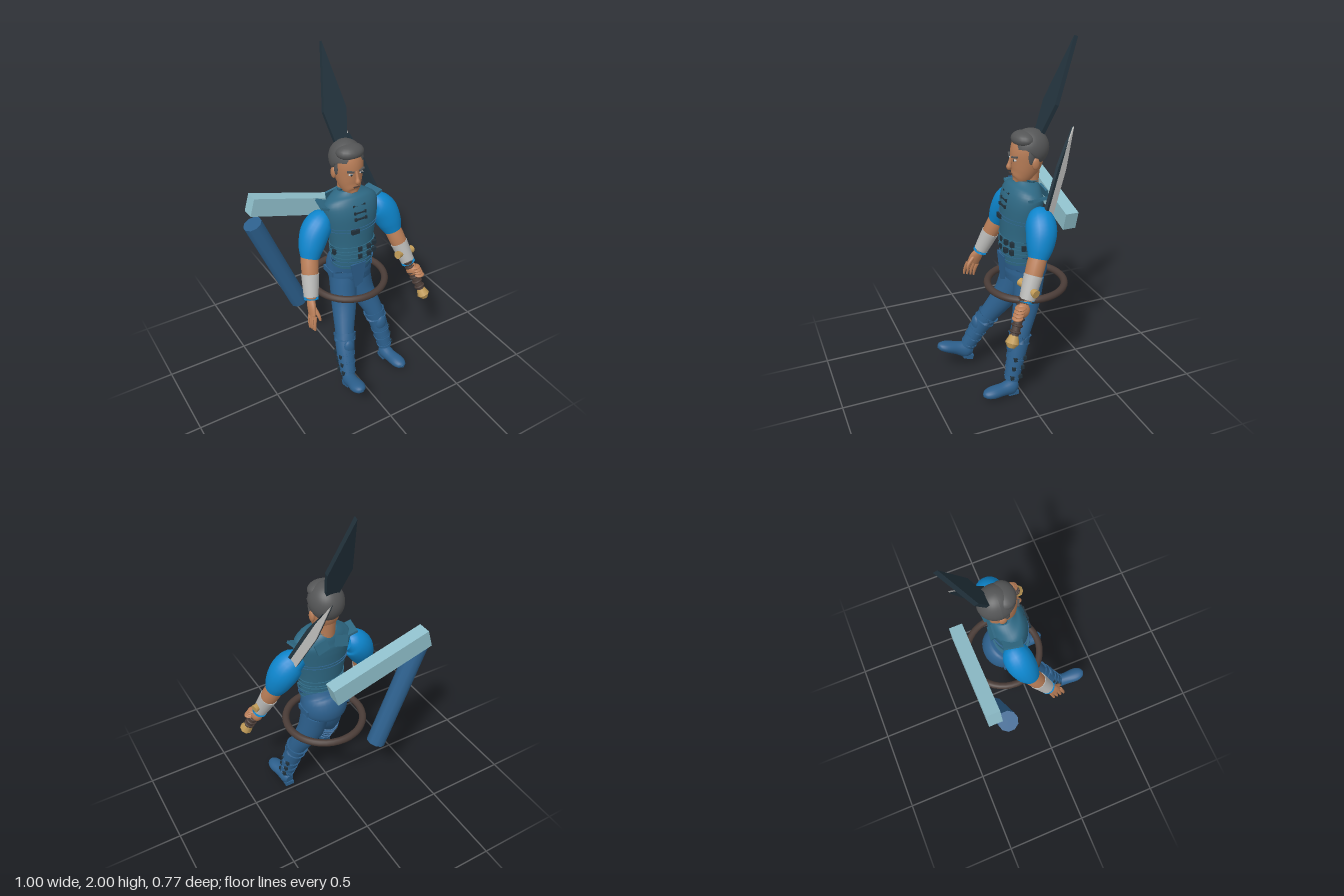
import * as THREE from 'three';

const paint = (name, color) => {
  const m = new THREE.MeshStandardMaterial({ color });
  m.name = name;
  return m;
};
const M = {
  vest: paint('teal vest', 0x2e6883), cloth: paint('blue cloth', 0x2c5f8c),
  sleeve: paint('bright blue', 0x0d85cc), skin: paint('skin', 0xb87d57),
  metal: paint('pale grey', 0xb8b8b6), hair: paint('hair grey', 0x545556),
  dark: paint('dark slate', 0x22323c), slab: paint('light teal', 0x8fbfcb),
  brown: paint('brown leather', 0x4a3c37), gold: paint('gold', 0xc29c58),
};
const V = (x, y, z) => new THREE.Vector3(x, y, z);

export function createModel() {
  const root = new THREE.Group();
  const add = (name, geo, mat, pos, parent = root) => {
    const m = new THREE.Mesh(geo, mat);
    m.name = name;
    if (pos) m.position.set(...pos);
    parent.add(m);
    return m;
  };

  // Smooth elliptical sweep through rows of [x, y, z, radiusA, radiusB]
  const sweep = (name, rows, mat, segs = 20, sub = 4) => {
    const path = new THREE.CatmullRomCurve3(rows.map(r => V(r[0], r[1], r[2])), false, 'catmullrom');
    const radii = new THREE.CatmullRomCurve3(rows.map(r => V(r[3], r[4] ?? r[3], 0)), false, 'catmullrom');
    const n = rows.length === 2 ? 1 : (rows.length - 1) * sub;
    const pos = [], idx = [];
    const ring = t => {
      const c = path.getPoint(t), r = radii.getPoint(t), T = path.getTangent(t);
      const u = V(1, 0, 0).addScaledVector(T, -T.x).normalize(), v = u.clone().cross(T);
      for (let j = 0; j < segs; j++) {
        const a = j / segs * Math.PI * 2;
        const p = c.clone().addScaledVector(u, r.x * Math.cos(a)).addScaledVector(v, r.y * Math.sin(a));
        pos.push(p.x, p.y, p.z);
      }
      return c;
    };
    for (let i = 0; i <= n; i++) ring(i / n);
    for (let i = 0; i < n; i++) for (let j = 0; j < segs; j++) {
      const a = i * segs + j, b = i * segs + (j + 1) % segs;
      idx.push(a, a + segs, b, b, a + segs, b + segs);
    }
    for (const t of [0, 1]) { // end caps
      const s = pos.length / 3, c = ring(t);
      pos.push(c.x, c.y, c.z);
      for (let j = 0; j < segs; j++) {
        const a = s + j, b = s + (j + 1) % segs;
        idx.push(s + segs, ...(t ? [b, a] : [a, b]));
      }
    }
    const g = new THREE.BufferGeometry();
    g.setAttribute('position', new THREE.Float32BufferAttribute(pos, 3));
    g.setIndex(idx);
    g.computeVertexNormals();
    return add(name, g, mat);
  };
  const ball = (name, p, s, mat) => {
    const m = add(name, new THREE.SphereGeometry(1, 20, 14), mat, p);
    m.scale.set(...s);
    return m;
  };
  const box = (name, p, s, mat, rz = 0) => {
    const m = add(name, new THREE.BoxGeometry(...s), mat, p);
    m.rotation.z = rz;
    return m;
  };
  const rod = (name, a, b, r0, r1, mat, segs = 12) => {
    const A = V(...a), B = V(...b), d = B.clone().sub(A);
    const m = add(name, new THREE.CylinderGeometry(r1, r0, d.length(), segs), mat);
    m.position.copy(A).add(B).multiplyScalar(0.5);
    m.quaternion.setFromUnitVectors(V(0, 1, 0), d.normalize());
  };
  const plate = (pts, depth) => new THREE.ExtrudeGeometry(
    new THREE.Shape(pts.map(p => new THREE.Vector2(...p))), { depth, bevelEnabled: false }).translate(0, 0, -depth / 2);

  // Torso, flared skirt and collar
  const cx = 0.067;
  const torso = [[.79, -.06, .128, .1], [.86, -.055, .132, .1], [.95, -.06, .137, .102], [1.05, -.065, .154, .106],
    [1.13, -.072, .166, .108], [1.185, -.085, .163, .1], [1.22, -.095, .12, .082], [1.25, -.1, .07, .062]];
  const torsoAt = y => {
    const i = Math.max(1, torso.findIndex(r => r[0] >= y)), a = torso[i - 1], b = torso[i];
    const t = (y - a[0]) / (b[0] - a[0]);
    return a.map((v, k) => v + (b[k] - v) * t);
  };
  sweep('vest', torso.map(([y, z, a, b]) => [cx, y, z, a, b]), M.vest, 32);
  sweep('skirt', [[cx, .83, -.06, .124, .098], [cx, .78, -.075, .128, .11], [cx, .735, -.095, .136, .134],
    [cx, .7, -.085, .137, .12], [cx, .65, -.072, .132, .098]], M.cloth, 32);
  sweep('collar', [[cx, 1.225, -.1, .072, .064], [cx, 1.258, -.108, .062, .062]], M.vest, 24);
  const band = (y, h, mat, grow) => {
    const at = q => { const [, z, a, b] = torsoAt(q); return [cx, q, z, a + grow, b + grow]; };
    sweep('vestBand', [at(y - h / 2), at(y + h / 2)], mat, 32);
  };
  [.872, .918].forEach(y => band(y, .028, M.vest, .006));
  band(.825, .03, M.cloth, .005);
  band(1.045, .02, M.cloth, .005);
  const frontZ = y => { const [, z, , b] = torsoAt(y); return z + b; };
  [.87, .918].forEach(y => [.06, .12, .165].forEach(x =>
    box('beltBuckle', [x, y, frontZ(y) - (x > .15 ? .018 : .002)], [.024, .028, .02], M.dark)));
  box('chestBuckle', [.03, 1.045, frontZ(1.045) + .002], [.05, .026, .016], M.dark);
  [1.12, 1.155, 1.19].forEach(y => {
    box('chestClasp', [cx, y, frontZ(y) + .002], [.07, .008, .014], M.dark);
    for (const s of [-1, 1]) box('claspToggle', [cx + s * .033, y, frontZ(y) + .002], [.012, .018, .014], M.dark);
  });
  const flap = add('skirtFlap', plate([[-.05, 0], [.05, 0], [.035, -.15], [-.015, -.175]], .01), M.cloth, [.05, .82, .042]);
  flap.rotation.x = .04;
  for (const s of [-1, 1]) {
    box('skirtPocket', [cx + s * .134, .72, -.1], [.012, .035, .1], M.cloth);
    box('sideBuckle', [cx + s * .135, .9, -.03], [.016, .03, .024], M.dark);
    const e = box('shoulderFlap', [cx + s * .16, 1.185, -.1], [.06, .014, .11], M.vest, s * .35);
    e.rotation.y = s * .2;
    const b = box('backCollarFlap', [cx + s * .06, 1.19, -.182], [.075, .06, .012], M.vest, s * -.25);
    b.rotation.x = .3;
  }

  // Neck and head
  sweep('neck', [[cx, 1.2, -.115, .053, .053], [cx, 1.28, -.12, .05, .055], [cx, 1.38, -.125, .058, .06]], M.skin);
  sweep('head', [[cx, 1.243, -.038, .022, .02], [cx, 1.26, -.055, .046, .05], [cx, 1.3, -.08, .066, .073],
    [cx, 1.36, -.1, .079, .092], [cx, 1.43, -.108, .083, .095], [cx, 1.49, -.115, .066, .075], [cx, 1.515, -.12, .02, .02]], M.skin, 28);
  sweep('nose', [[cx, 1.32, -.01, .006, .006], [cx, 1.333, .002, .014, .015], [cx, 1.355, -.003, .009, .012],
    [cx, 1.395, -.016, .007, .01]], M.skin, 12);
  box('mouth', [cx, 1.298, -.008], [.036, .004, .008], M.brown);
  for (const s of [-1, 1]) {
    ball('ear', [cx + s * .083, 1.36, -.118], [.013, .034, .022], M.skin);
    ball('eye', [cx + s * .033, 1.378, -.018], [.014, .006, .009], M.metal);
    ball('pupil', [cx + s * .033, 1.378, -.011], [.006, .006, .004], M.dark);
    const brow = box('eyebrow', [cx + s * .035, 1.396, -.015], [.04, .008, .014], M.hair, s * .12);
    brow.rotation.y = s * .35;
  }

  // Hair: an ellipsoid clamped to a hairline that drops toward the nape
  const hair = new THREE.SphereGeometry(1, 32, 24).scale(.095, .105, .105).translate(cx, 1.43, -.122);
  const hp = hair.attributes.position;
  for (let i = 0; i < hp.count; i++) {
    const line = THREE.MathUtils.mapLinear(THREE.MathUtils.clamp(hp.getZ(i), -.17, -.07), -.17, -.07, 1.335, 1.44);
    hp.setY(i, Math.max(hp.getY(i), line));
  }
  hair.computeVertexNormals();
  add('hair', hair, M.hair);
  ball('frontHair', [cx, 1.482, -.082], [.082, .045, .066], M.hair);
  for (const s of [-1, 1]) ball('sideburn', [cx + s * .079, 1.4, -.095], [.01, .045, .018], M.hair);

  // Tall diamond spike behind the head
  const spike = add('headSpike', plate([[-.028, -.05], [.028, -.05], [.071, .17], [0, .535], [-.071, .17]], .024), M.dark, [.065, 1.505, -.177]);
  spike.rotation.x = -.385;

  // Arms
  sweep('rightSleeve', [[-.07, 1.1, -.1, .045], [-.115, 1.085, -.095, .076], [-.16, 1.035, -.085, .084],
    [-.195, .965, -.065, .074], [-.218, .905, -.045, .054]], M.sleeve);
  sweep('leftSleeve', [[.21, 1.1, -.1, .045], [.26, 1.085, -.095, .076], [.302, 1.035, -.085, .084],
    [.33, .965, -.065, .074], [.348, .905, -.045, .054]], M.sleeve);
  const forearm = (side, a, b) => {
    const at = (t, r) => [...a.map((v, k) => v + (b[k] - v) * t), r];
    sweep(side + 'Forearm', [at(0, .05), at(.4, .049), at(1, .028)], M.skin);
    sweep(side + 'Bracer', [at(.44, .052), at(.75, .046), at(.93, .042)], M.metal);
    sweep(side + 'BracerBand', [at(.93, .044), at(.99, .043)], M.sleeve);
  };
  forearm('right', [-.215, .93, -.055], [-.268, .69, .05]);
  forearm('left', [.34, .93, -.055], [.41, .69, .05]);

  // Open right hand
  sweep('rightPalm', [[-.268, .7, .045, .024, .026], [-.278, .66, .07, .022, .038], [-.286, .615, .09, .016, .038]], M.skin, 14);
  for (let i = 0; i < 4; i++) {
    const z = .125 - i * .021, y = .622 - i * .007;
    sweep('rightFinger', [[-.286, y, z, .011], [-.297, y - .045, z + .014, .01], [-.299, y - .08, z + .02, .006]], M.skin, 8, 2);
  }
  sweep('rightThumb', [[-.272, .66, .09, .012], [-.262, .62, .125, .011], [-.258, .59, .135, .006]], M.skin, 8, 2);

  // Sword, built from the pommel toward the tip: pale outer face, dark inner face and front edge
  const pommel = V(.462, .49, .155), dir = V(.155, 1.545, -.33).sub(pommel).normalize(), wide = V(.35, .5, .9);
  wide.addScaledVector(dir, -wide.dot(dir)).normalize();
  const sword = new THREE.Group();
  sword.name = 'sword';
  sword.position.copy(pommel);
  sword.quaternion.setFromRotationMatrix(new THREE.Matrix4().makeBasis(wide, dir, wide.clone().cross(dir)));
  root.add(sword);
  const edge = [[-.03, .3], [.014, .3], [.014, 1.05], [0, 1.2], [-.034, .97]];
  add('bladeOuterFace', plate(edge, .009), M.metal, [0, 0, -.0045], sword);
  add('bladeInnerFace', plate(edge, .009), M.dark, [0, 0, .0045], sword);
  add('bladeFrontEdge', plate([[.014, .3], [.03, .3], [.034, .97], [.014, 1.12]], .018), M.dark, null, sword);
  add('grip', new THREE.CylinderGeometry(.026, .024, .23, 14), M.brown, [0, .165, 0], sword);
  for (let i = 0; i < 6; i++) {
    const wrap = add('gripWrap', new THREE.TorusGeometry(.026, .007, 8, 16), M.brown, [0, .07 + i * .036, 0], sword);
    wrap.rotation.x = Math.PI / 2;
  }
  add('pommel', new THREE.CylinderGeometry(.024, .038, .045, 8), M.gold, [0, .03, 0], sword);
  add('pommelCap', new THREE.CylinderGeometry(.038, .02, .025, 8), M.gold, [0, -.005, 0], sword);
  rod('guard', [.325, .775, .045], [.39, .765, .03], .024, .014, M.gold);
  rod('guard', [.39, .765, .03], [.455, .755, .012], .014, .024, M.gold);
  ball('leftFist', [.418, .655, .075], [.034, .045, .042], M.skin);
  for (let i = 0; i < 4; i++) ball('leftFinger', [.43 + i * .005, .678 - i * .016, .09 + i * .008], [.032, .011, .03], M.skin);

  // Legs, boots and feet
  const leg = (side, s, rows, foot) => {
    sweep(side + 'Leg', rows, M.cloth);
    const [knee, shin, ankle] = rows.slice(-3);
    const mix = (a, b, t, g) => a.map((v, k) => v + (b[k] - v) * t + (k > 2 ? g : 0));
    sweep(side + 'Boot', [mix(knee, shin, .15, .006), mix(shin, shin, 0, .005), mix(ankle, ankle, 0, .005)], M.cloth);
    sweep(side + 'BootCuff', [mix(knee, shin, .12, .012), mix(knee, shin, .5, .012)], M.cloth);
    const pad = mix(knee, shin, .7, 0);
    ball(side + 'KneePad', [pad[0], pad[1], pad[2] + .042], [.036, .055, .024], M.cloth);
    [.1, .45, .8].forEach(t => {
      const b = mix(shin, ankle, t, .009), c = mix(shin, ankle, t + .09, .009);
      sweep(side + 'BootStrap', [b, c], M.cloth);
      for (const q of [.4, -.6]) box(side + 'BootBuckle', [b[0] + s * b[3] * .82, b[1], b[2] + q * b[3]], [.016, .022, .02], M.dark);
    });
    sweep(side + 'Foot', foot, M.cloth, 20);
  };
  leg('right', -1, [[.01, .68, -.07, .08, .09], [-.01, .53, -.02, .077], [-.06, .38, .07, .058], [-.09, .28, .13, .05], [-.112, .15, .2, .038]],
    [[-.108, .108, .175, .026, .03], [-.112, .12, .205, .04, .05], [-.12, .14, .265, .04, .04], [-.126, .162, .33, .045, .032],
      [-.128, .172, .368, .032, .023], [-.128, .174, .384, .01, .01]]);
  leg('left', 1, [[.125, .68, -.1, .08, .09], [.147, .53, -.075, .077], [.2, .38, -.015, .058], [.226, .26, .02, .05], [.25, .1, .06, .038]],
    [[.247, .045, .03, .026, .034], [.25, .05, .06, .04, .048], [.257, .048, .12, .039, .038], [.265, .05, .185, .044, .033],
      [.268, .05, .225, .032, .023], [.268, .048, .243, .01, .01]]);
  box('leftHeel', [.248, .014, .055], [.054, .026, .06], M.cloth);
  const heel = box('rightHeel', [-.112, .078, .2], [.054, .03, .06], M.cloth);
  heel.rotation.x = -.35;

  // Hoop around the thighs, and the slab and roll behind the back
  const hoop = add('hoop', new THREE.TorusGeometry(.224, .021, 12, 40), M.brown, [.07, .62, -.105]);
  hoop.rotation.x = Math.PI / 2;
  box('backSlab', [-.138, 1.08, -.34], [.614, .11, .078], M.slab, -.285);
  rod('backRoll', [-.452, 1.083, -.274], [-.187, .428, -.274], .056, .056, M.cloth, 10);
  return root;
}
